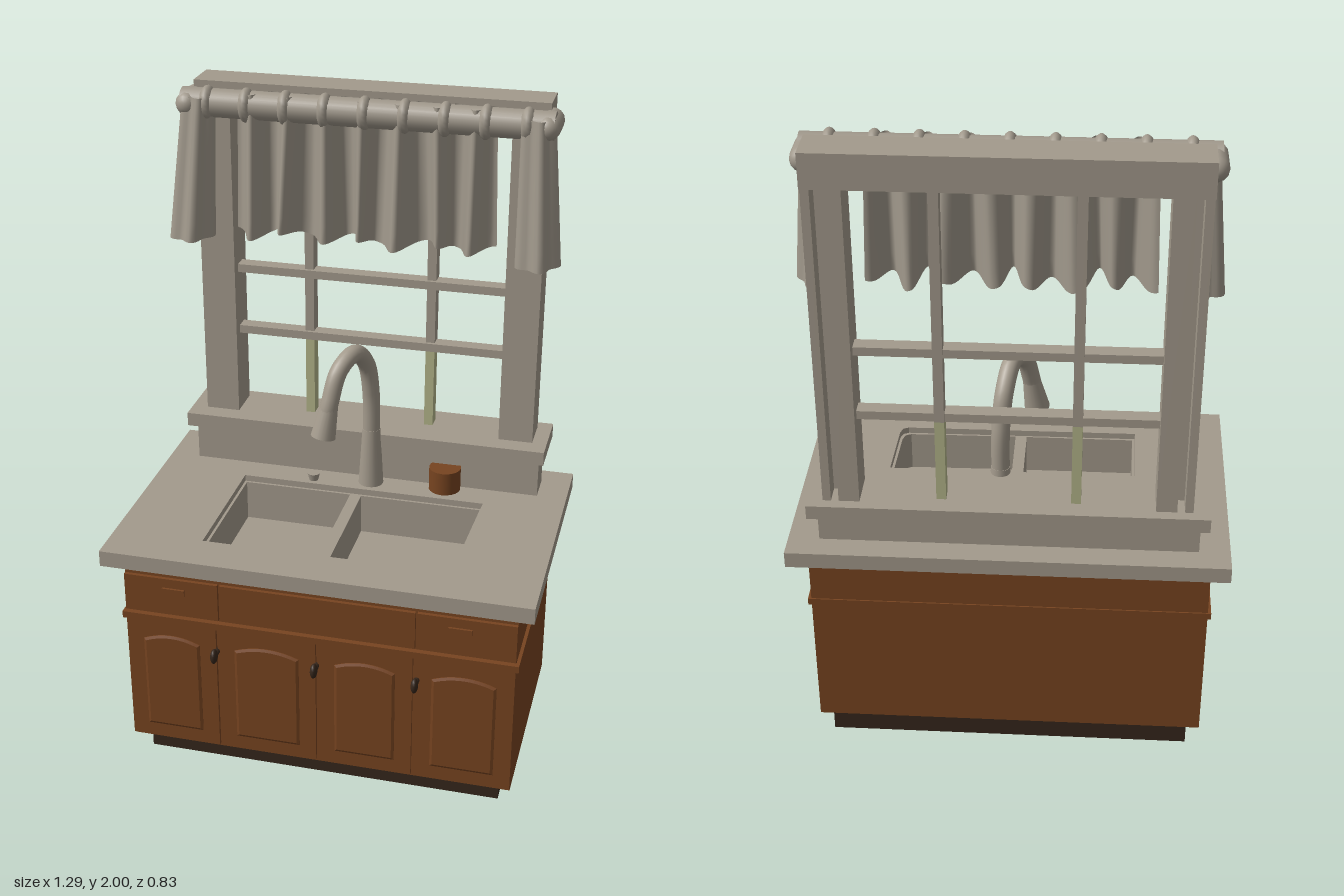
import * as THREE from 'three';

const mat = (name, color) => {
  const m = new THREE.MeshStandardMaterial({ color });
  m.name = name;
  return m;
};

export function createModel() {
  const stone = mat('stone', 0xa39a8c);
  const cloth = mat('cloth', 0xa1998c);
  cloth.side = THREE.DoubleSide;
  const wood = mat('wood', 0x774420);
  const darkWood = mat('darkWood', 0x35261b);
  const green = mat('paleGreen', 0xb4b58a);

  const root = new THREE.Group();
  root.name = 'kitchenSink';

  const add = (name, geo, material, x = 0, y = 0, z = 0) => {
    const m = new THREE.Mesh(geo, material);
    m.name = name;
    m.position.set(x, y, z);
    root.add(m);
    return m;
  };
  // Box given by its limits on each axis
  const box = (name, material, x0, x1, y0, y1, z0, z1) =>
    add(name, new THREE.BoxGeometry(x1 - x0, y1 - y0, z1 - z0), material,
      (x0 + x1) / 2, (y0 + y1) / 2, (z0 + z1) / 2);
  // Horizontal slab from an outline of [x, z] points, with holes
  const slab = (name, material, outline, holes, y0, y1) => {
    const pts = (list) => list.map(([x, z]) => new THREE.Vector2(x, -z));
    const shape = new THREE.Shape(pts(outline));
    holes.forEach((h) => shape.holes.push(new THREE.Path(pts(h))));
    const geo = new THREE.ExtrudeGeometry(shape, { depth: y1 - y0, bevelEnabled: false });
    geo.rotateX(-Math.PI / 2);
    return add(name, geo, material, 0, y0, 0);
  };
  const rect = (x0, x1, z0, z1) => [[x0, z0], [x0, z1], [x1, z1], [x1, z0]];

  // Cabinet body, hollow above for the basins
  box('toeKick', darkWood, -0.555, 0.555, 0, 0.075, -0.32, 0.31);
  box('cabinetBody', wood, -0.595, 0.595, 0.07, 0.6, -0.33, 0.35);
  slab('cabinetTop', wood, rect(-0.595, 0.595, -0.33, 0.35),
    [rect(-0.43, 0.45, -0.2, 0.325)], 0.6, 0.715);
  slab('cabinetLedge', wood, rect(-0.605, 0.605, -0.334, 0.368),
    [rect(-0.5, 0.5, -0.25, 0.3)], 0.508, 0.53);

  // Doors with raised, arched panels
  [[-0.595, -0.313], [-0.307, -0.003], [0.003, 0.292], [0.298, 0.595]].forEach(([a, b]) => {
    box('door', wood, a, b, 0.08, 0.505, 0.345, 0.361);
    const l = a + 0.06, r = b - 0.06;
    const s = new THREE.Shape();
    s.moveTo(l, 0.135);
    s.lineTo(r, 0.135);
    s.lineTo(r, 0.435);
    s.quadraticCurveTo((l + r) / 2, 0.47, l, 0.435);
    add('doorPanel', new THREE.ExtrudeGeometry(s, {
      depth: 0.002, bevelThickness: 0.004, bevelSize: 0.008, bevelSegments: 1,
    }), wood, 0, 0, 0.361);
  });
  // Drawer fronts and finger pulls
  [[-0.595, -0.303], [-0.297, 0.297], [0.303, 0.595]].forEach(([a, b]) =>
    box('drawerFront', wood, a, b, 0.537, 0.66, 0.345, 0.361));
  [-0.44, 0.43].forEach((x) => box('drawerPull', wood, x - 0.035, x + 0.035, 0.61, 0.63, 0.36, 0.368));
  // Door knobs
  [-0.31, 0, 0.305].forEach((x) => {
    const stem = add('knobStem', new THREE.CylinderGeometry(0.009, 0.009, 0.03, 10), darkWood, x, 0.43, 0.372);
    stem.rotation.x = Math.PI / 2;
    add('knob', new THREE.SphereGeometry(0.02, 12, 10), darkWood, x, 0.43, 0.392).scale.set(0.55, 1.2, 0.9);
  });

  // Countertop and double basin
  const corner = (x, z) => [[x - 0.025, z], [x - 0.008, z - 0.008], [x, z - 0.03]];
  slab('countertop', stone, rect(-0.647, 0.647, -0.413, 0.413),
    [[[-0.37, -0.148], [-0.37, 0.28], ...corner(0.385, 0.275), [0.4, -0.148]]], 0.71, 0.76);
  slab('basinWalls', stone, rect(-0.4, 0.425, -0.18, 0.31), [
    rect(-0.362, -0.022, -0.14, 0.272),
    [[0.014, -0.14], [0.014, 0.272], ...corner(0.377, 0.267), [0.392, -0.14]],
  ], 0.601, 0.74);
  box('basinFloor', stone, -0.4, 0.425, 0.598, 0.612, -0.18, 0.31);

  // Faucet with a swung gooseneck
  const path = new THREE.CatmullRomCurve3([
    [0.03, 0.75, -0.205], [0.03, 0.92, -0.205], [0.029, 1.08, -0.2], [0.02, 1.185, -0.172],
    [0.0, 1.246, -0.1], [-0.03, 1.215, -0.032], [-0.048, 1.13, 0.002], [-0.055, 1.09, 0.01],
  ].map((p) => new THREE.Vector3(...p)));
  add('faucetNeck', new THREE.TubeGeometry(path, 48, 0.027, 16), stone);
  add('faucetBase', new THREE.CylinderGeometry(0.028, 0.04, 0.2, 20), stone, 0.03, 0.85, -0.205);
  const from = new THREE.Vector3(-0.048, 1.13, 0.002), to = new THREE.Vector3(-0.066, 1.018, 0.02);
  const spout = add('faucetSpout', new THREE.CylinderGeometry(0.025, 0.038, from.distanceTo(to), 20), stone);
  spout.position.copy(from).lerp(to, 0.5);
  spout.quaternion.setFromUnitVectors(new THREE.Vector3(0, 1, 0), from.clone().sub(to).normalize());

  // Small items on the counter
  add('soapButton', new THREE.CylinderGeometry(0.02, 0.014, 0.025, 14), stone, -0.15, 0.772, -0.175);
  add('cup', new THREE.CylinderGeometry(0.05, 0.05, 0.075, 20), wood, 0.265, 0.797, -0.22);

  // Backsplash, sill and window frame
  box('backsplash', stone, -0.555, 0.555, 0.755, 0.89, -0.337, -0.24);
  box('windowSill', stone, -0.577, 0.573, 0.886, 0.93, -0.413, -0.205);
  box('windowHeader', stone, -0.53, 0.53, 1.9, 2, -0.383, -0.265);
  [-1, 1].forEach((s) => {
    const strip = (name, a, b, z0, z1) =>
      box(name, stone, Math.min(s * a, s * b), Math.max(s * a, s * b), 0.925, 1.905, z0, z1);
    strip('postFace', 0.422, 0.528, -0.32, -0.265);
    strip('postInnerRib', 0.422, 0.482, -0.38, -0.31);
    strip('postOuterRib', 0.504, 0.528, -0.38, -0.31);
  });
  // Glazing bars, pale green at the bottom
  [-0.195, 0.19].forEach((x) => {
    box('verticalBarBase', green, x - 0.014, x + 0.014, 0.925, 1.19, -0.355, -0.31);
    box('verticalBar', stone, x - 0.014, x + 0.014, 1.19, 1.905, -0.355, -0.31);
  });
  [1.2, 1.405].forEach((y) => box('horizontalBar', stone, -0.425, 0.425, y - 0.013, y + 0.013, -0.345, -0.3));

  // Curtain rod sleeve and its returns to the wall
  const rod = add('rodSleeve', new THREE.CylinderGeometry(0.042, 0.042, 1.1, 20), cloth, 0, 1.947, -0.222);
  rod.rotation.z = Math.PI / 2;
  [-1, 1].forEach((s) => {
    const ret = add('rodReturn', new THREE.CapsuleGeometry(0.036, 0.085, 6, 14), cloth, s * 0.53, 1.945, -0.248);
    ret.rotation.x = Math.PI / 2;
  });

  // Middle curtain: a sheet pushed into sharp folds that deepen downwards
  const folds = 7;
  const sheet = new THREE.PlaneGeometry(1, 1, folds * 16, 8);
  const p = sheet.attributes.position;
  for (let i = 0; i < p.count; i++) {
    const u = p.getX(i) + 0.5, t = 0.5 - p.getY(i);
    const ridge = Math.pow(0.5 - 0.5 * Math.cos(u * folds * Math.PI * 2), 1.6);
    const half = 0.385 + 0.012 * t;
    const x = (u * 2 - 1) * half - 0.005 + 0.012 * t * Math.sin(u * 19);
    const y = 1.985 - t * (0.425 + 0.012 * Math.sin(u * 23) - 0.008 * ridge);
    p.setXYZ(i, x, y, -0.25 + ridge * (0.06 + 0.035 * t) + 0.012 * t * Math.sin(u * 13));
  }
  sheet.computeVertexNormals();
  add('curtainMiddle', sheet, cloth);

  // Gathers bulging over the rod
  for (let i = 0; i < 9; i++)
    add('curtainGather', new THREE.SphereGeometry(0.05, 12, 10), cloth, (i - 4) * 0.118, 1.948, -0.216)
      .scale.set(0.5, 1.02, 0.95);

  // Side tails: fluted, flaring sleeves
  [-1, 1].forEach((s) => {
    const geo = new THREE.CylinderGeometry(1, 1, 1, 40, 8, true);
    const q = geo.attributes.position;
    for (let i = 0; i < q.count; i++) {
      const t = 0.5 - q.getY(i);
      const a = Math.atan2(q.getZ(i), q.getX(i));
      const f = 1 + 0.14 * Math.cos(a * 5);
      q.setXYZ(i,
        s * (0.5 + 0.022 * t) + Math.cos(a) * f * (0.045 + 0.016 * t),
        1.97 - t * 0.42,
        -0.217 + 0.032 * t + Math.sin(a) * f * (0.044 + 0.032 * t));
    }
    geo.computeVertexNormals();
    add('curtainTail', geo, cloth);
  });

  return root;
}
